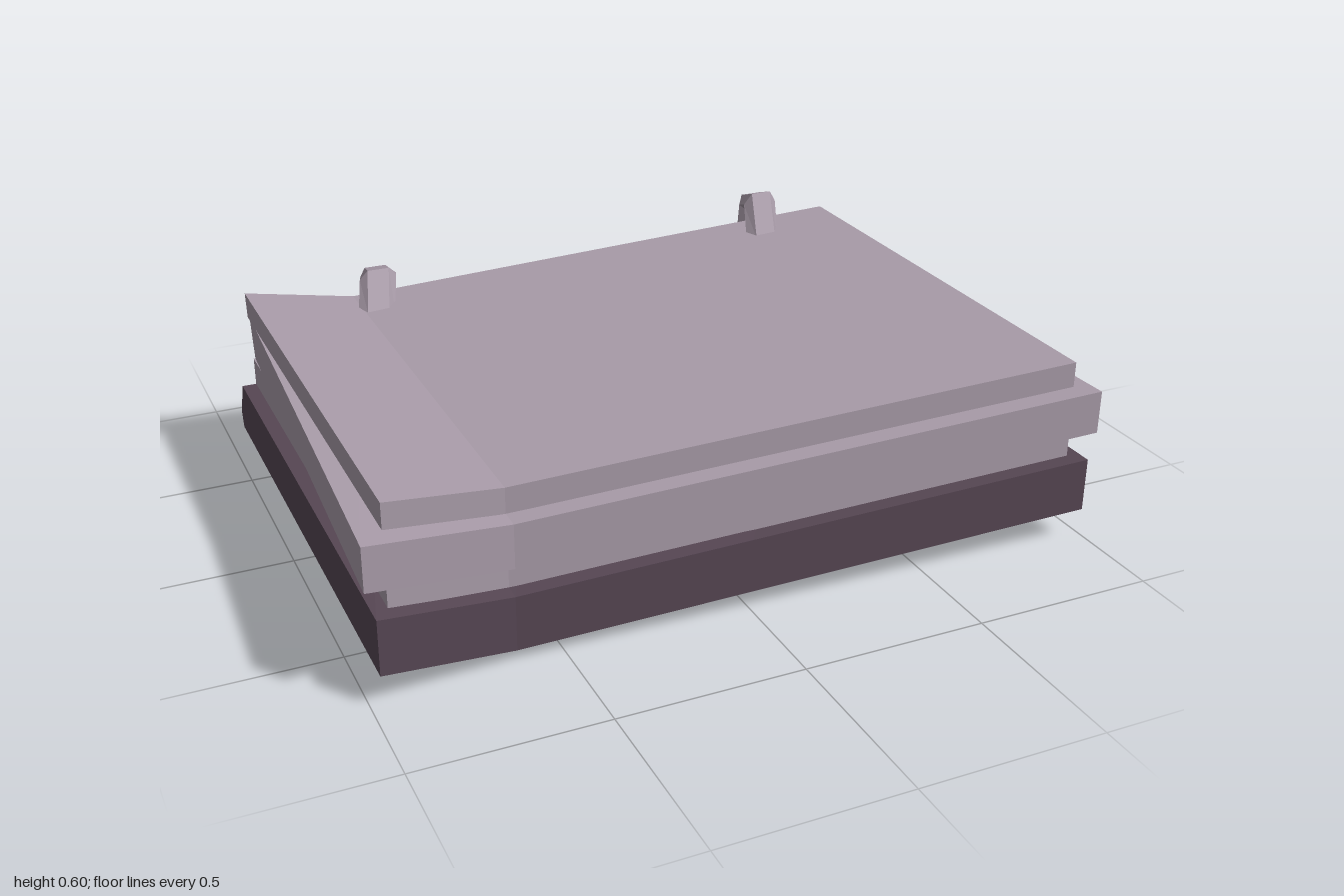
import * as THREE from 'three';

const pageMat = new THREE.MeshStandardMaterial({ color: 0xa89ba8 });
pageMat.name = 'mauve paper';
const coverMat = new THREE.MeshStandardMaterial({ color: 0x564653 });
coverMat.name = 'dark plum cover';

// Faceted solid through a row of matching cross-sections, capped at both ends
function loft(name, sections, material) {
  const pos = [];
  const tri = (a, b, c) => pos.push(...a, ...b, ...c);
  const n = sections[0].length;
  for (let i = 0; i < sections.length - 1; i++) {
    for (let j = 0; j < n; j++) {
      const k = (j + 1) % n;
      const a = sections[i][j], b = sections[i][k];
      const c = sections[i + 1][k], d = sections[i + 1][j];
      tri(a, d, c);
      tri(a, c, b);
    }
  }
  const first = sections[0], last = sections[sections.length - 1];
  for (let j = 1; j < n - 1; j++) {
    tri(first[0], first[j], first[j + 1]);
    tri(last[0], last[j + 1], last[j]);
  }
  const geo = new THREE.BufferGeometry();
  geo.setAttribute('position', new THREE.Float32BufferAttribute(pos, 3));
  geo.computeVertexNormals();
  const mesh = new THREE.Mesh(geo, material);
  mesh.name = name;
  return mesh;
}

// Bend of the stack: 0 at both ends, 1 at the fold
const FOLD = -0.62, SAG = 0.06;
const bend = (x) => Math.max(0, x < FOLD ? (x + 0.96) / (FOLD + 0.96) : (0.97 - x) / (0.97 - FOLD));

// One block of pages; the back edge can be narrower than the front
function pageBlock(name, o) {
  const columns = [[o.left, o.backLeft, 0], [FOLD, FOLD, 1], [o.right, o.backRight, 0]];
  return loft(name, columns.map(([xf, xb, s]) => [
    [xf, o.top - SAG * s, o.front - SAG * s],
    [xb, o.top - SAG * s * o.backSag[0], o.back[0]],
    [xb, o.bottom - SAG * s * o.backSag[1], o.back[1]],
    [xf, o.bottom - SAG * s, o.front - SAG * s],
  ]), pageMat);
}

// Bent clip that hooks over the spine, as a six-sided bar along a path of [z, y]
function clip(name, shiftX, baseY, scaleY) {
  const path = [[-0.55, 0.47], [-0.645, 0.565], [-0.715, 0.54],
    [-0.725, 0.047], [-0.64, 0.033], [-0.55, 0.11]];
  const outline = [[0.055, 0], [0.032, 0.03], [-0.032, 0.03], [-0.055, 0], [-0.032, -0.03], [0.032, -0.03]];
  const sections = path.map(([z, y], i) => {
    const here = new THREE.Vector2(z, y);
    const p = path[i - 1], q = path[i + 1];
    const before = p ? here.clone().sub(new THREE.Vector2(...p)).normalize() : null;
    const after = q ? new THREE.Vector2(...q).sub(here).normalize() : null;
    const t = (before ?? after).clone().add(after ?? before).normalize();
    const miter = 1 / Math.max(0.6, t.dot(after ?? before));
    return outline.map(([u, v]) => {
      const pz = z + t.y * v * miter;
      const py = y - t.x * v * miter;
      const x = 0.695 + shiftX + 0.3 * (-z - 0.65) + 0.07 * (y - 0.3) + u;
      return [x, baseY + py * scaleY, pz];
    });
  });
  return loft(name, sections, pageMat);
}

export function createModel() {
  const group = new THREE.Group();
  group.name = 'notebook';

  // Cover slab with a bevelled spine edge
  group.add(loft('cover', [-0.975, FOLD, 0, 0.985].map((x) => {
    const s = SAG * bend(x);
    const belly = Math.abs(x) < 0.7 ? SAG : 0;
    return [
      [x, 0.24 - s, 0.745 - s],
      [x, 0.24, -0.635],
      [x, 0.135, -0.69],
      [x, 0.09, -0.675],
      [x, 0.09, -0.47],
      [x, 0.09 - belly, -0.45],
      [x, 0.09 - s, 0.745 - s],
    ];
  }), coverMat));

  // Three page blocks, the middle one jutting out at the front
  group.add(pageBlock('lowerPages', {
    left: -0.935, right: 0.95, backLeft: -0.935, backRight: 0.95,
    top: 0.32, bottom: 0.238, front: 0.70, back: [-0.635, -0.635], backSag: [0.3, 0],
  }));
  group.add(pageBlock('middlePages', {
    left: -1, right: 1, backLeft: -0.93, backRight: 0.942,
    top: 0.44, bottom: 0.32, front: 0.75, back: [-0.662, -0.635], backSag: [0.75, 0.3],
  }));
  group.add(pageBlock('upperPages', {
    left: -0.935, right: 0.95, backLeft: -0.935, backRight: 0.95,
    top: 0.51, bottom: 0.44, front: 0.695, back: [-0.672, -0.662], backSag: [1, 0.75],
  }));

  // Binding clips
  group.add(clip('leftClip', 0, 0, 1));
  group.add(clip('rightClip', -1.26, 0.05, 0.81));
  return group;
}
